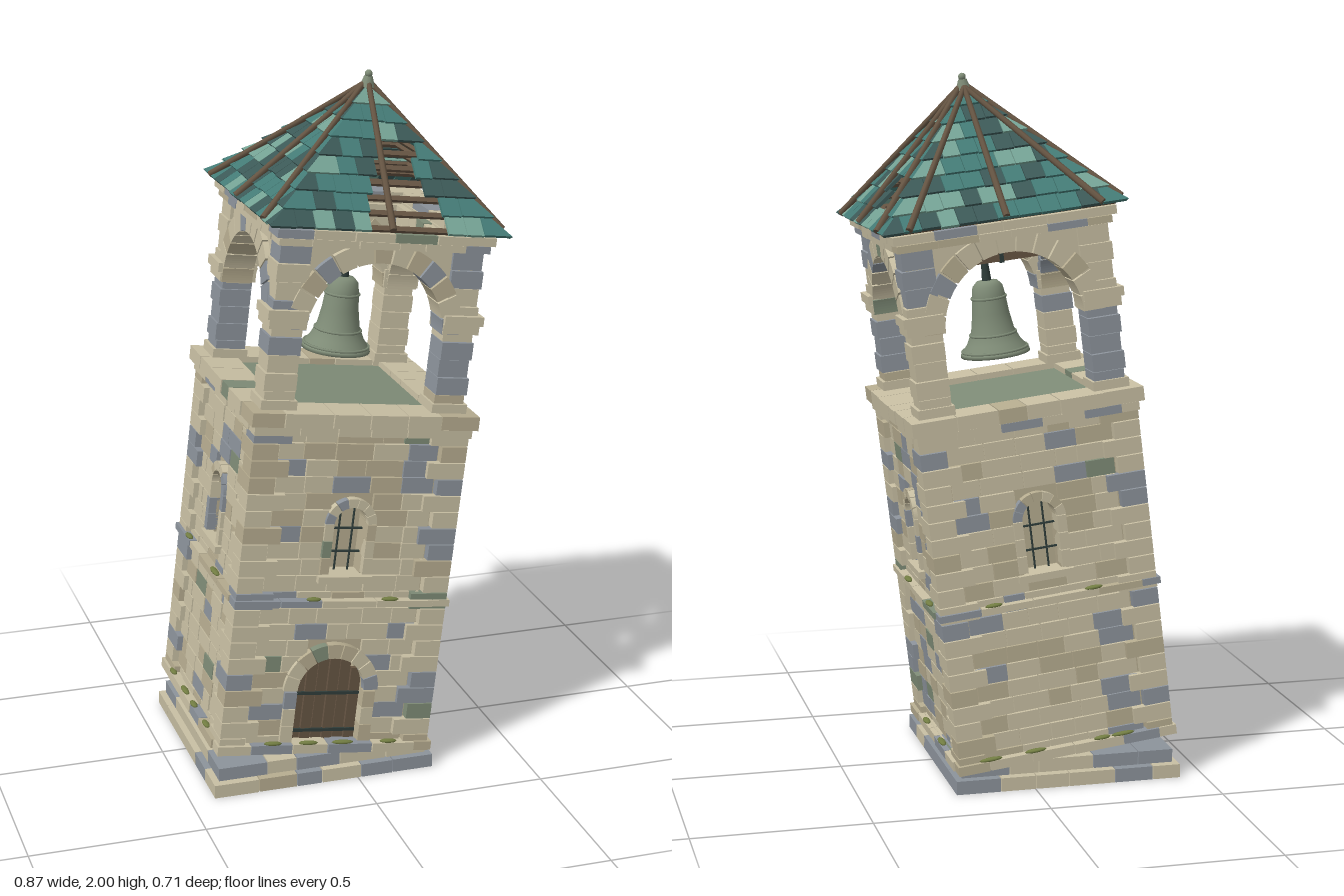
import * as THREE from 'three';
import { mergeGeometries } from 'three/addons/utils/BufferGeometryUtils.js';

const COLORS = {
  creamStone: 0xc8bfa3, tanStone: 0xb7ad90, blueStone: 0x8c939b, moss: 0x727d42, verdigris: 0x7f8c77,
  teal: 0x447b76, lightTeal: 0x74a294, darkTeal: 0x3c5957, wood: 0x665543, iron: 0x2f3d3a,
};

export function createModel() {
  const mats = {};
  for (const [name, color] of Object.entries(COLORS)) {
    mats[name] = new THREE.MeshStandardMaterial({ color, side: name === 'verdigris' ? THREE.DoubleSide : THREE.FrontSide });
    mats[name].name = name;
  }
  let seed = 11;
  const rand = () => (seed = (seed * 16807) % 2147483647) / 2147483647;
  const stone = () => { const r = rand(); return r < 0.62 ? 'creamStone' : r < 0.8 ? 'tanStone' : r < 0.97 ? 'blueStone' : 'verdigris'; };
  const slate = () => { const r = rand(); return r < 0.52 ? 'teal' : r < 0.68 ? 'lightTeal' : 'darkTeal'; };
  const face = (k) => new THREE.Matrix4().makeRotationY(k * Math.PI / 2);

  // Collects the pieces of a part and merges them by colour
  function part(parent, name, build) {
    const bins = {};
    build((mat, geo, matrix) => {
      const g = geo.index ? geo.toNonIndexed() : geo;
      if (matrix) g.applyMatrix4(matrix);
      (bins[mat] ??= []).push(g);
    });
    const group = new THREE.Group();
    group.name = name;
    for (const [mat, list] of Object.entries(bins)) {
      const mesh = new THREE.Mesh(mergeGeometries(list), mats[mat]);
      mesh.name = `${name} ${mat}`;
      group.add(mesh);
    }
    parent.add(group);
  }
  const block = (x0, x1, y0, y1, z0, z1) =>
    new THREE.BoxGeometry(x1 - x0, y1 - y0, z1 - z0).translate((x0 + x1) / 2, (y0 + y1) / 2, (z0 + z1) / 2);

  // Row of stones between x0 and x1 with uneven joints
  function course(add, x0, x1, y0, y1, z0, z1, size, m) {
    const n = Math.max(1, Math.round((x1 - x0) / size)), w = (x1 - x0) / n;
    let a = x0;
    for (let i = 0; i < n; i++) {
      const b = i === n - 1 ? x1 : x0 + w * (i + 1 + (rand() - 0.5) * 0.5);
      add(stone(), block(a + 0.0015, b - 0.0015, y0 + 0.0015, y1 - 0.0015, z0, z1 + rand() * 0.004), m);
      a = b;
    }
  }
  // Square band of stones around the tower
  const band = (add, y0, y1, half, depth, size) => {
    for (let k = 0; k < 4; k++) course(add, -half, half - depth, y0, y1, half - depth, half, size, face(k));
  };
  // Wedge stones around an arch
  function arch(add, r0, r1, cy, z0, z1, n, m) {
    for (let i = 0; i < n; i++) {
      const a0 = Math.PI * i / n + 0.012, a1 = Math.PI * (i + 1) / n - 0.012;
      const s = new THREE.Shape().absarc(0, 0, r1, a0, a1, false).absarc(0, 0, r0, a1, a0, true);
      add(stone(), new THREE.ExtrudeGeometry(s, { depth: z1 - z0, bevelEnabled: false, curveSegments: 3 }).translate(0, cy, z0), m);
    }
  }
  const archPath = (w, y0, spring) =>
    new THREE.Path().moveTo(-w, y0).lineTo(w, y0).lineTo(w, spring).absarc(0, spring, w, 0, Math.PI, false).lineTo(-w, y0);

  const model = new THREE.Group();
  model.name = 'leaningBellTower';

  // Level footing
  const base = new THREE.Group();
  base.name = 'footing';
  base.position.x = -0.1;
  model.add(base);
  part(base, 'footingStones', (add) => {
    for (let i = 0; i < 6; i++) course(add, -0.33, 0.33, 0, 0.042, -0.33 + i * 0.11, -0.222 + i * 0.11, 0.11);
    for (let i = 0; i < 5; i++) course(add, -0.312, 0.312, 0.042, 0.083, -0.312 + i * 0.1248, -0.19 + i * 0.1248, 0.125);
  });

  // Everything above leans together
  const tower = new THREE.Group();
  tower.name = 'leaningTower';
  tower.position.set(-0.1, 0.09, 0);
  tower.rotation.z = -0.1215;
  model.add(tower);

  part(tower, 'wallCore', (add) => {
    for (let k = 0; k < 4; k++) {
      const s = new THREE.Shape().moveTo(-0.287, 0).lineTo(0.287, 0).lineTo(0.287, 0.99).lineTo(-0.287, 0.99).closePath();
      s.holes.push(archPath(0.05, 0.54, 0.695));
      if (k === 0) s.holes.push(archPath(0.1, 0.003, 0.19));
      add('tanStone', new THREE.ExtrudeGeometry(s, { depth: 0.055, bevelEnabled: false }).translate(0, 0, 0.232), face(k));
    }
    add('tanStone', block(-0.28, 0.28, 0, 0.015, -0.28, 0.28));
  });

  part(tower, 'wallStones', (add) => {
    const rows = 20, h = 0.98 / rows;
    for (let k = 0; k < 4; k++) for (let r = 0; r < rows; r++) {
      const y0 = r * h, y1 = y0 + h, e = 0.235;
      const gap = k === 0 && y0 < 0.3 ? (y0 > 0.24 ? 0.08 : 0.118) : y1 > 0.54 && y0 < 0.755 ? 0.06 : 0;
      if (gap) {
        course(add, -e, -gap, y0, y1, 0.28, 0.297, 0.09, face(k));
        course(add, gap, e, y0, y1, 0.28, 0.297, 0.09, face(k));
      } else course(add, -e, e, y0, y1, 0.28, 0.297, 0.09, face(k));
    }
  });

  // Corner stones, long and short in turn
  part(tower, 'cornerStones', (add) => {
    for (let k = 0; k < 4; k++) for (let r = 0; r < 20; r++) {
      const long = (r + k) % 2, h = 0.049;
      add(stone(), block(0.315 - (long ? 0.11 : 0.075), 0.315, r * h + 0.0015, r * h + h - 0.0015, 0.315 - (long ? 0.075 : 0.11), 0.315), face(k));
    }
  });

  part(tower, 'stoneBands', (add) => {
    band(add, 0, 0.03, 0.323, 0.05, 0.12);
    band(add, 0.45, 0.472, 0.322, 0.05, 0.15);
    band(add, 0.955, 0.982, 0.319, 0.05, 0.12);
    band(add, 0.982, 1.025, 0.332, 0.11, 0.11);
    band(add, 1.485, 1.508, 0.305, 0.07, 0.12);
    band(add, 1.508, 1.535, 0.315, 0.08, 0.12);
  });

  // Barred windows on all sides
  part(tower, 'windows', (add) => {
    for (let k = 0; k < 4; k++) {
      const m = face(k);
      arch(add, 0.05, 0.076, 0.695, 0.25, 0.31, 7, m);
      for (const x of [-0.063, 0.063]) for (let i = 0; i < 3; i++)
        add(stone(), block(x - 0.013, x + 0.013, 0.546 + i * 0.05, 0.594 + i * 0.05, 0.25, 0.31), m);
      add('creamStone', block(-0.08, 0.08, 0.52, 0.541, 0.24, 0.318), m);
      for (const x of [-0.02, 0.02]) add('iron', new THREE.CylinderGeometry(0.003, 0.003, 0.195, 6).translate(x, 0.642, 0.265), m);
      for (const y of [0.6, 0.67]) add('iron', block(-0.05, 0.05, y - 0.0025, y + 0.0025, 0.262, 0.268), m);
    }
  });

  // Arched plank door with iron straps
  part(tower, 'door', (add) => {
    arch(add, 0.1, 0.142, 0.19, 0.25, 0.312, 9);
    for (const x of [-0.118, 0.118]) for (let i = 0; i < 3; i++)
      add(stone(), block(x - 0.018, x + 0.018, 0.032 + i * 0.052, 0.082 + i * 0.052, 0.25, 0.312));
    for (let i = 0; i < 6; i++) {
      const x = -0.1 + i / 30, c = x + 1 / 60;
      add('wood', block(x + 0.0015, x + 0.0318, 0.015, 0.19 + Math.sqrt(0.01 - c * c), 0.262, 0.274 + (i % 2) * 0.003));
    }
    for (const y of [0.05, 0.165]) add('iron', block(-0.098, 0.098, y, y + 0.009, 0.272, 0.281));
  });

  // Moss on the ledges
  part(tower, 'mossPatches', (add) => {
    for (let k = 0; k < 4; k++) for (const [y, n] of [[0.032, k === 1 ? 2 : 4], [0.474, 2]]) for (let i = 0; i < n; i++) {
      const r = 0.022 + rand() * 0.016, x = -0.26 + (i + 0.2 + rand() * 0.6) * 0.52 / n;
      add('moss', new THREE.SphereGeometry(1, 10, 6).scale(r, 0.006, 0.01).translate(x, y, 0.317), face(k));
    }
  });

  part(tower, 'belfryDeck', (add) => add('verdigris', block(-0.23, 0.23, 0.985, 1.006, -0.23, 0.23)));

  part(tower, 'belfryPosts', (add) => {
    for (let k = 0; k < 4; k++) {
      for (let r = 0; r < 9; r++) {
        const y = 1.025 + r * 0.0512, o = 0.293 + (r % 2) * 0.005;
        add(stone(), block(0.205, o, y + 0.001, y + 0.05, 0.205, o), face(k));
      }
      for (const [y, o] of [[1.025, 0.302], [1.255, 0.305], [1.282, 0.313]])
        add('creamStone', block(0.198, o, y, y + 0.026, 0.198, o), face(k));
    }
  });

  part(tower, 'belfryArches', (add) => {
    for (let k = 0; k < 4; k++) {
      const s = new THREE.Shape().moveTo(0.285, 1.25).lineTo(0.285, 1.5).lineTo(-0.285, 1.5).lineTo(-0.285, 1.25)
        .lineTo(-0.2, 1.25).absarc(0, 1.25, 0.2, Math.PI, 0, true).closePath();
      add('creamStone', new THREE.ExtrudeGeometry(s, { depth: 0.07, bevelEnabled: false, curveSegments: 16 }).translate(0, 0, 0.213), face(k));
      arch(add, 0.197, 0.255, 1.25, 0.208, 0.3, 13, face(k));
    }
  });

  // Bell, hanger and beam
  part(tower, 'bellBeam', (add) => {
    add('wood', block(-0.25, 0.25, 1.385, 1.43, -0.028, 0.028));
    for (const x of [-0.045, 0.045]) add('iron', block(x - 0.006, x + 0.006, 1.381, 1.433, -0.031, 0.031));
    add('iron', new THREE.CylinderGeometry(0.01, 0.014, 0.06, 10).translate(0, 1.358, 0));
  });
  part(tower, 'bell', (add) => {
    const profile = [[0.001, 1.335], [0.03, 1.332], [0.043, 1.318], [0.048, 1.29], [0.053, 1.24], [0.062, 1.19],
      [0.078, 1.155], [0.098, 1.13], [0.1, 1.12], [0.09, 1.12], [0.07, 1.152], [0.052, 1.2], [0.04, 1.3], [0.001, 1.32]];
    add('verdigris', new THREE.LatheGeometry(profile.map(([x, y]) => new THREE.Vector2(x, y)).reverse(), 28));
    for (const [r, y] of [[0.049, 1.285], [0.066, 1.18], [0.094, 1.135]])
      add('verdigris', new THREE.TorusGeometry(r, 0.004, 6, 28).rotateX(Math.PI / 2).translate(0, y, 0));
    add('iron', new THREE.CylinderGeometry(0.005, 0.005, 0.18, 6).translate(0, 1.23, 0));
    add('iron', new THREE.SphereGeometry(0.018, 12, 8).translate(0, 1.14, 0));
  });

  // Steep slate roof with two broken patches
  const H = 0.335, L = H * Math.SQRT2, ROWS = 8, rowH = L / ROWS;
  const slope = (k) => face(k).multiply(new THREE.Matrix4().makeTranslation(0, 1.54, H))
    .multiply(new THREE.Matrix4().makeRotationX(-Math.PI / 4));
  const halfAt = (y) => H * Math.max(0, 1 - y / L);
  const broken = (k, x, r) => (k === 0 && r < 5 && Math.abs(x - 0.05) < 0.1 - r * 0.013)
    || (k === 1 && (r === 1 || r === 2) && Math.abs(x - 0.115) < 0.065);

  // Slate whose outer edges are mitred along the hips
  function tile(a, b, y0, y1, firstEnd, lastEnd) {
    const g = new THREE.BoxGeometry(1, 1, 1), p = g.attributes.position;
    for (let i = 0; i < p.count; i++) {
      const top = p.getY(i) > 0, left = p.getX(i) < 0, y = top ? y1 : y0;
      const z = (p.getZ(i) > 0 ? 0.01 : 0) + (top ? -0.004 : 0.005), lim = halfAt(y) + z * Math.SQRT1_2;
      const x = left ? (firstEnd ? -lim : a) : (lastEnd ? lim : b);
      p.setXYZ(i, THREE.MathUtils.clamp(x, -lim, lim), y, z);
    }
    g.computeVertexNormals();
    return g;
  }
  part(tower, 'roofSlates', (add) => {
    for (let k = 0; k < 4; k++) for (let r = 0; r < ROWS; r++) {
      const y0 = r * rowH, w = halfAt(y0), step = 0.055;
      for (let a = -w, b; a < w - 0.001; a = b) {
        b = a === -w && r % 2 ? a + step * 1.5 : a + step * (0.85 + rand() * 0.3);
        if (b > w - 0.03) b = w;
        if (!broken(k, (a + b) / 2, r))
          add(slate(), tile(a + 0.001, b - 0.001, y0 - rand() * 0.004, Math.min(L, y0 + rowH + 0.008), a === -w, b === w), slope(k));
      }
    }
  });

  part(tower, 'roofTimbers', (add) => {
    for (let k = 0; k < 4; k++) {
      // Battens below the slates
      for (let i = 0; i < 9; i++) {
        const y = 0.012 + i * 0.049, w = halfAt(y) - 0.012;
        if (w > 0.02) add('wood', block(-w, w, y, y + 0.015, -0.016, -0.005), slope(k));
      }
      // Poles from eave to peak
      for (const x of k === 0 ? [0] : [-0.272, 0, 0.272]) {
        const pole = new THREE.CylinderGeometry(0.008, 0.01, Math.hypot(x, L), 7);
        pole.rotateZ(Math.atan2(x, L)).translate(x / 2, L / 2, 0.016);
        add('wood', pole, slope(k));
      }
    }
  });

  part(tower, 'finial', (add) => {
    add('verdigris', new THREE.CylinderGeometry(0.012, 0.022, 0.03, 10).translate(0, 1.892, 0));
    add('verdigris', new THREE.SphereGeometry(0.011, 12, 8).translate(0, 1.914, 0));
  });

  return model;
}
